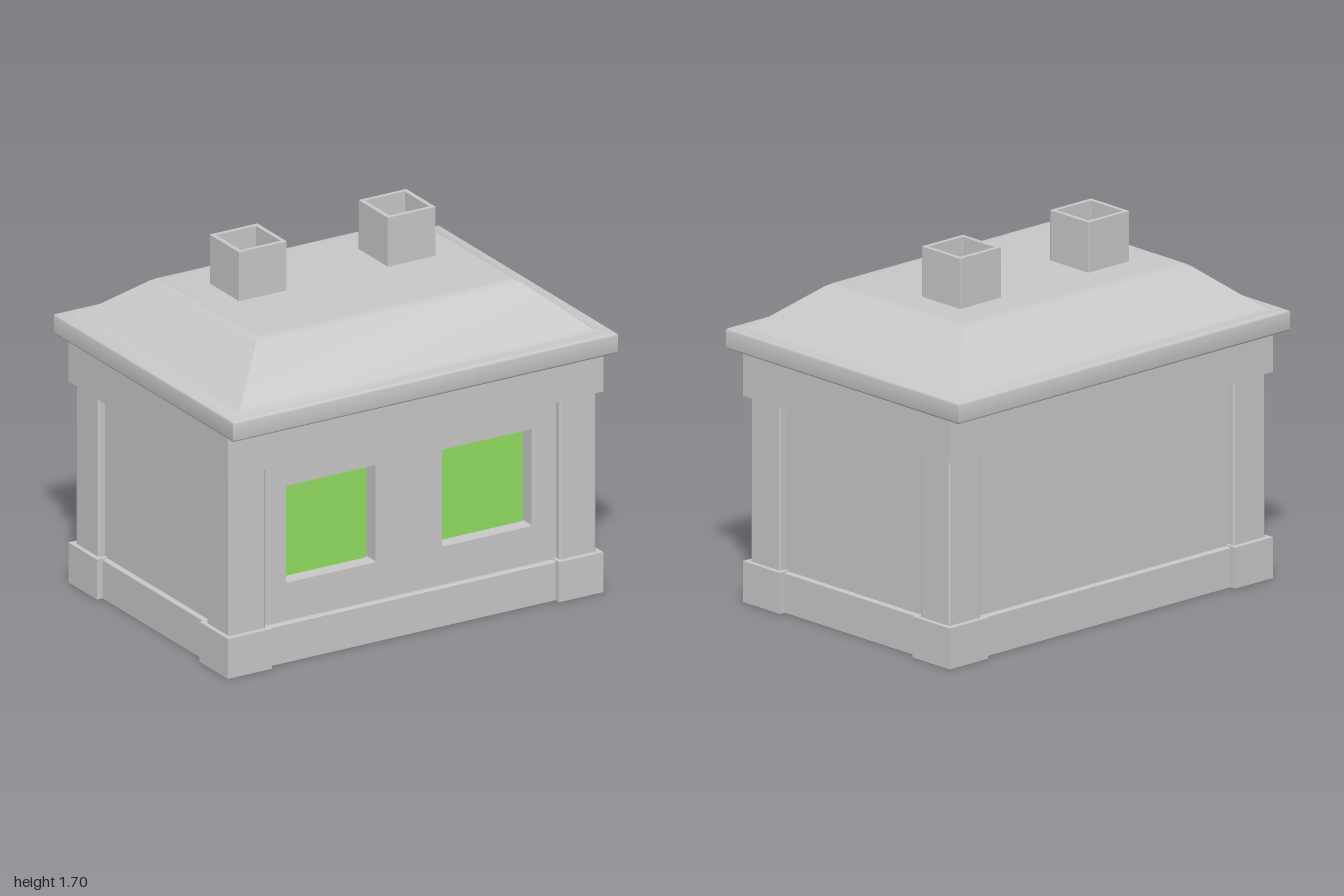
import * as THREE from 'three';
import { toCreasedNormals } from 'three/addons/utils/BufferGeometryUtils.js';
import { RoundedBoxGeometry } from 'three/addons/geometries/RoundedBoxGeometry.js';

const stone = new THREE.MeshStandardMaterial({ color: 0xc8c8c8 });
stone.name = 'greyStone';
const glass = new THREE.MeshStandardMaterial({ color: 0x93df60 });
glass.name = 'greenGlass';

const SIDES = [-1, 1];

function add(parent, name, geometry, material = stone) {
  const mesh = new THREE.Mesh(geometry, material);
  mesh.name = name;
  parent.add(mesh);
}

// Box given by its limits, with optionally softened edges
function block(x0, x1, y0, y1, z0, z1, r = 0) {
  const size = [x1 - x0, y1 - y0, z1 - z0];
  const geo = r ? new RoundedBoxGeometry(...size, 2, r) : new THREE.BoxGeometry(...size);
  return geo.translate((x0 + x1) / 2, (y0 + y1) / 2, (z0 + z1) / 2);
}

// Rounded rectangle outline
function roundRect(path, x0, x1, y0, y1, r) {
  path.moveTo(x0 + r, y0);
  path.lineTo(x1 - r, y0).quadraticCurveTo(x1, y0, x1, y0 + r);
  path.lineTo(x1, y1 - r).quadraticCurveTo(x1, y1, x1 - r, y1);
  path.lineTo(x0 + r, y1).quadraticCurveTo(x0, y1, x0, y1 - r);
  path.lineTo(x0, y0 + r).quadraticCurveTo(x0, y0, x0 + r, y0);
  return path;
}

// Solid from stacked rectangles [halfX, halfZ, y], bottom to top
function stackedRects(levels) {
  const pos = [];
  const rings = levels.map(([x, z, y]) => [[-x, y, z], [x, y, z], [x, y, -z], [-x, y, -z]]);
  const quad = (a, b, c, d) => pos.push(...a, ...b, ...c, ...a, ...c, ...d);
  for (let i = 0; i < rings.length - 1; i++) {
    for (let k = 0; k < 4; k++) {
      const n = (k + 1) % 4;
      quad(rings[i][k], rings[i][n], rings[i + 1][n], rings[i + 1][k]);
    }
  }
  const [a, b, c, d] = rings[0];
  quad(d, c, b, a);
  quad(...rings[rings.length - 1]);
  const geo = new THREE.BufferGeometry();
  geo.setAttribute('position', new THREE.Float32BufferAttribute(pos, 3));
  return toCreasedNormals(geo, 0.56);
}

// Plan outline raised along y
function raise(shape, y, height) {
  return new THREE.ExtrudeGeometry(shape, { depth: height, bevelEnabled: false })
    .rotateX(-Math.PI / 2).translate(0, y, 0);
}

export function createModel() {
  const house = new THREE.Group();
  house.name = 'house';

  // Main body, with its underside raised to the top of the hollow plinth
  const floor = 0.168;
  add(house, 'body', block(-0.92, 0.92, floor, 0.97, -0.612, 0.535));

  // Front wall with two window openings
  const wall = new THREE.Shape([[-0.92, floor], [0.92, floor], [0.92, 0.97], [-0.92, 0.97]]
    .map(([x, y]) => new THREE.Vector2(x, y)));
  for (const [x0, x1] of [[-0.638, -0.174], [0.172, 0.636]]) {
    wall.holes.push(roundRect(new THREE.Path(), x0, x1, 0.366, 0.828, 0.01));
    add(house, 'windowPane', block(x0, x1, 0.366, 0.828, 0.534, 0.54), glass);
  }
  add(house, 'frontWall',
    new THREE.ExtrudeGeometry(wall, { depth: 0.077, bevelEnabled: false }).translate(0, 0, 0.535));

  // Thin skirting sheets around the foot, each capped by a rounded ledge
  for (const s of SIDES) {
    add(house, 'longSkirting', block(-0.75, 0.75, 0, 0.178, -0.003, 0.003).translate(0, 0, s * 0.637));
    add(house, 'longLedge', block(-0.8, 0.8, 0.171, 0.185, -0.02, 0.02, 0.006).translate(0, 0, s * 0.62));
    add(house, 'sideSkirting', block(-0.003, 0.003, 0, 0.178, -0.435, 0.435).translate(s * 0.943, 0, 0));
    add(house, 'sideLedge', block(-0.02, 0.02, 0.171, 0.185, -0.5, 0.5, 0.006).translate(s * 0.926, 0, 0));
  }

  // Corner pillars on hollow L-shaped plinths with lids
  const shell = [[0.745, 0.67], [0.975, 0.67], [0.975, 0.43], [0.94, 0.43], [0.94, 0.436],
    [0.969, 0.436], [0.969, 0.664], [0.751, 0.664], [0.751, 0.634], [0.745, 0.634]];
  const lid = [[0.745, 0.67], [0.975, 0.67], [0.975, 0.43], [0.91, 0.43], [0.91, 0.6], [0.745, 0.6]];
  for (const sx of SIDES) {
    for (const sz of SIDES) {
      const pillar = block(-0.095, 0.095, 0.175, 0.97, -0.095, 0.095, 0.01);
      add(house, 'cornerPillar', pillar.translate(sx * 0.858, 0, sz * 0.549));
      const plan = (points) =>
        new THREE.Shape(points.map(([x, z]) => new THREE.Vector2(sx * x, -sz * z)));
      add(house, 'cornerPlinth', raise(plan(shell), 0, 0.172));
      add(house, 'plinthLid', raise(plan(lid), 0.172, 0.018));
    }
  }

  // Band under the eaves
  add(house, 'band', block(-0.975, 0.975, 0.956, 1.17, -0.67, 0.67));

  // Rounded eaves and hipped roof with a flat top
  const edge = [0, 30, 60, 90].map((deg) => {
    const a = THREE.MathUtils.degToRad(deg);
    return [0.012 * (1 - Math.cos(a)), 0.012 * Math.sin(a)];
  });
  const lower = edge.map(([inset, rise]) => [1 - inset, 0.753 - inset, 1.17 - rise]).reverse();
  const upper = edge.map(([inset, rise]) => [1 - inset, 0.753 - inset, 1.245 + rise]);
  add(house, 'roof', stackedRects([
    ...lower, ...upper,
    [0.935, 0.69, 1.258], [0.912, 0.668, 1.271],
    [0.69, 0.442, 1.457], [0.667, 0.42, 1.47], [0.65, 0.403, 1.471],
  ]));

  // Hollow chimneys
  for (const x of [-0.382, 0.391]) {
    const flue = roundRect(new THREE.Shape(), x - 0.124, x + 0.124, -0.005, 0.243, 0.003);
    flue.holes.push(roundRect(new THREE.Path(), x - 0.103, x + 0.103, 0.016, 0.222, 0.003));
    add(house, 'chimney', raise(flue, 1.46, 0.244));
  }
  return house;
}
